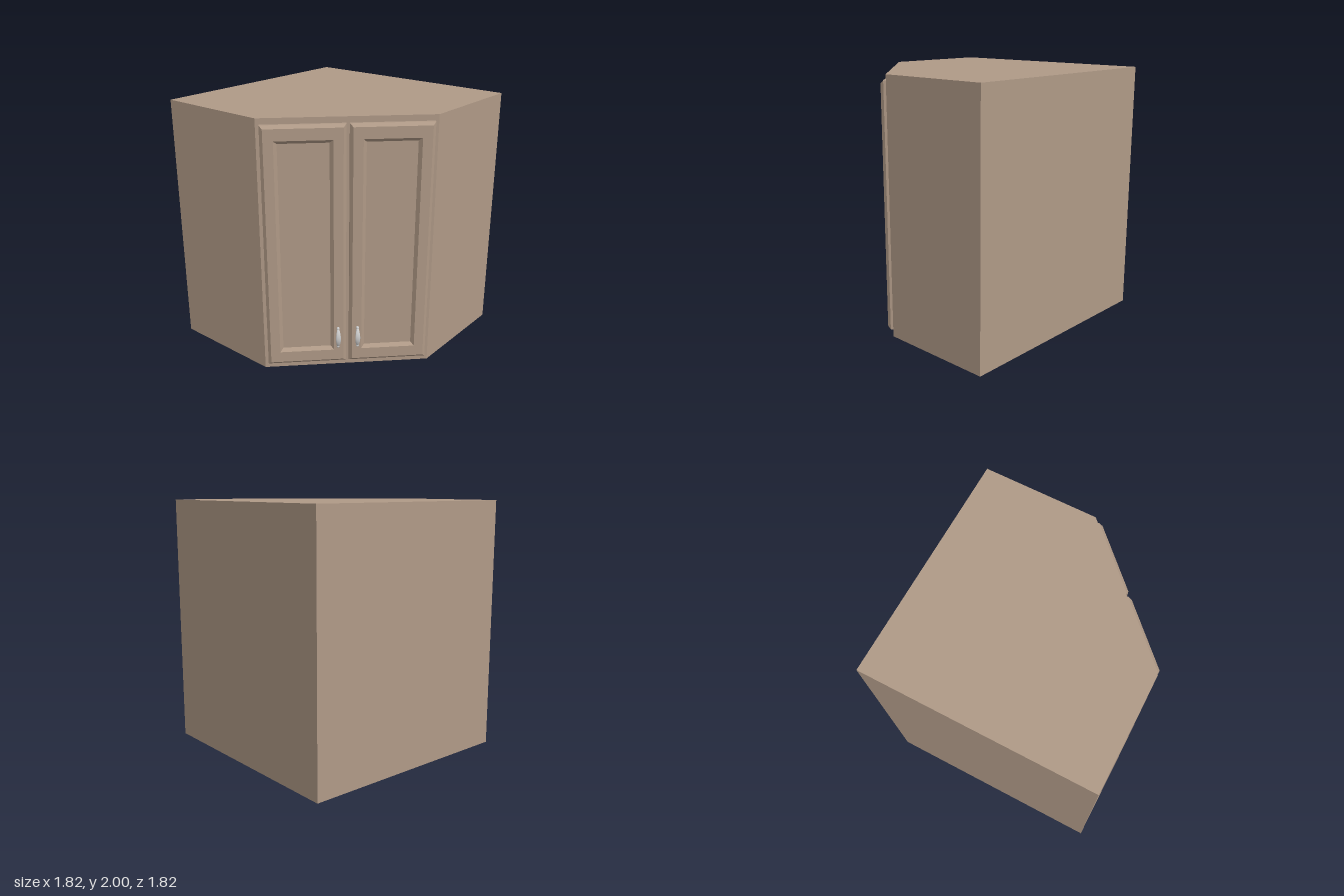
import * as THREE from 'three';

const wood = new THREE.MeshStandardMaterial({ color: 0xb09a87, flatShading: true });
const metal = new THREE.MeshStandardMaterial({ color: 0xcccccc });

function mesh(name, geometry, material, parent) {
  const m = new THREE.Mesh(geometry, material);
  m.name = name;
  parent.add(m);
  return m;
}

// Joins equal rings of points (counter-clockwise seen from the far end) and caps both ends.
function loft(rings) {
  const n = rings[0].length, pos = rings.flat(2), index = [];
  for (let r = 0; r < rings.length - 1; r++) {
    for (let i = 0; i < n; i++) {
      const a = r * n + i, b = r * n + (i + 1) % n;
      index.push(a, b, b + n, a, b + n, a + n);
    }
  }
  const last = (rings.length - 1) * n;
  for (let i = 1; i < n - 1; i++) {
    index.push(0, i + 1, i, last, last + i, last + i + 1);
  }
  const g = new THREE.BufferGeometry();
  g.setAttribute('position', new THREE.Float32BufferAttribute(pos, 3));
  g.setIndex(index);
  g.computeVertexNormals();
  return g;
}

// Door slab: chamfered outer edge, flat frame, sloped step down to the sunk panel.
function doorGeometry() {
  const profile = [ // half width, half height, depth
    [0.303, 0.955, 0], [0.303, 0.955, 0.021], [0.281, 0.932, 0.043],
    [0.209, 0.845, 0.043], [0.184, 0.82, 0.018],
  ];
  return loft(profile.map(([w, h, z]) => [[-w, -h, z], [w, -h, z], [w, h, z], [-w, h, z]]));
}

// Bowed grip, wide in the middle and slim at its ends.
function gripGeometry() {
  const rings = [], steps = 16, sides = 12;
  for (let s = 0; s <= steps; s++) {
    const t = s / steps * 2 - 1, bow = 1 - t * t;
    const w = 0.007 + 0.012 * bow, d = 0.005 + 0.001 * bow;
    const ring = [];
    for (let i = 0; i < sides; i++) {
      const a = i / sides * Math.PI * 2;
      ring.push([w * Math.cos(a), t * 0.078, 0.014 + 0.024 * bow - d * Math.sin(a)]);
    }
    rings.push(ring);
  }
  return loft(rings);
}

function makeHandle() {
  const handle = new THREE.Group();
  handle.name = 'handle';
  mesh('grip', gripGeometry(), metal, handle);
  for (const s of [-1, 1]) {
    const foot = mesh('handleFoot', new THREE.CylinderGeometry(0.008, 0.011, 0.016, 12), metal, handle);
    foot.rotation.x = Math.PI / 2;
    foot.position.set(0, s * 0.076, 0.008);
    const end = mesh('handleEnd', new THREE.SphereGeometry(0.012, 12, 8), metal, handle);
    end.scale.set(1, 1.1, 0.7);
    end.position.set(0, s * 0.076, 0.015);
  }
  return handle;
}

export function createModel() {
  const model = new THREE.Group();
  model.name = 'cornerCabinet';

  // Square body with its front right corner cut off diagonally
  const h = 0.91;
  const plan = new THREE.Shape([[-h, h], [-h, 0], [0, -h], [h, -h], [h, h]]
    .map(([x, y]) => new THREE.Vector2(x, y)));
  const body = new THREE.ExtrudeGeometry(plan, { depth: 2, bevelEnabled: false });
  body.rotateX(-Math.PI / 2);
  mesh('cabinetBody', body, wood, model);

  // Door pair on the diagonal face: local x runs along it, local z points out of it
  const front = new THREE.Group();
  front.name = 'doorPair';
  front.position.set(-h / 2, 0, h / 2);
  front.rotation.y = -Math.PI / 4;
  model.add(front);
  for (const s of [-1, 1]) {
    const door = mesh(s < 0 ? 'rightDoor' : 'leftDoor', doorGeometry(), wood, front);
    door.position.set(s * 0.315, 1, 0);
    const handle = makeHandle();
    handle.position.set(s * 0.075, 0.27, 0.043);
    front.add(handle);
  }
  return model;
}
